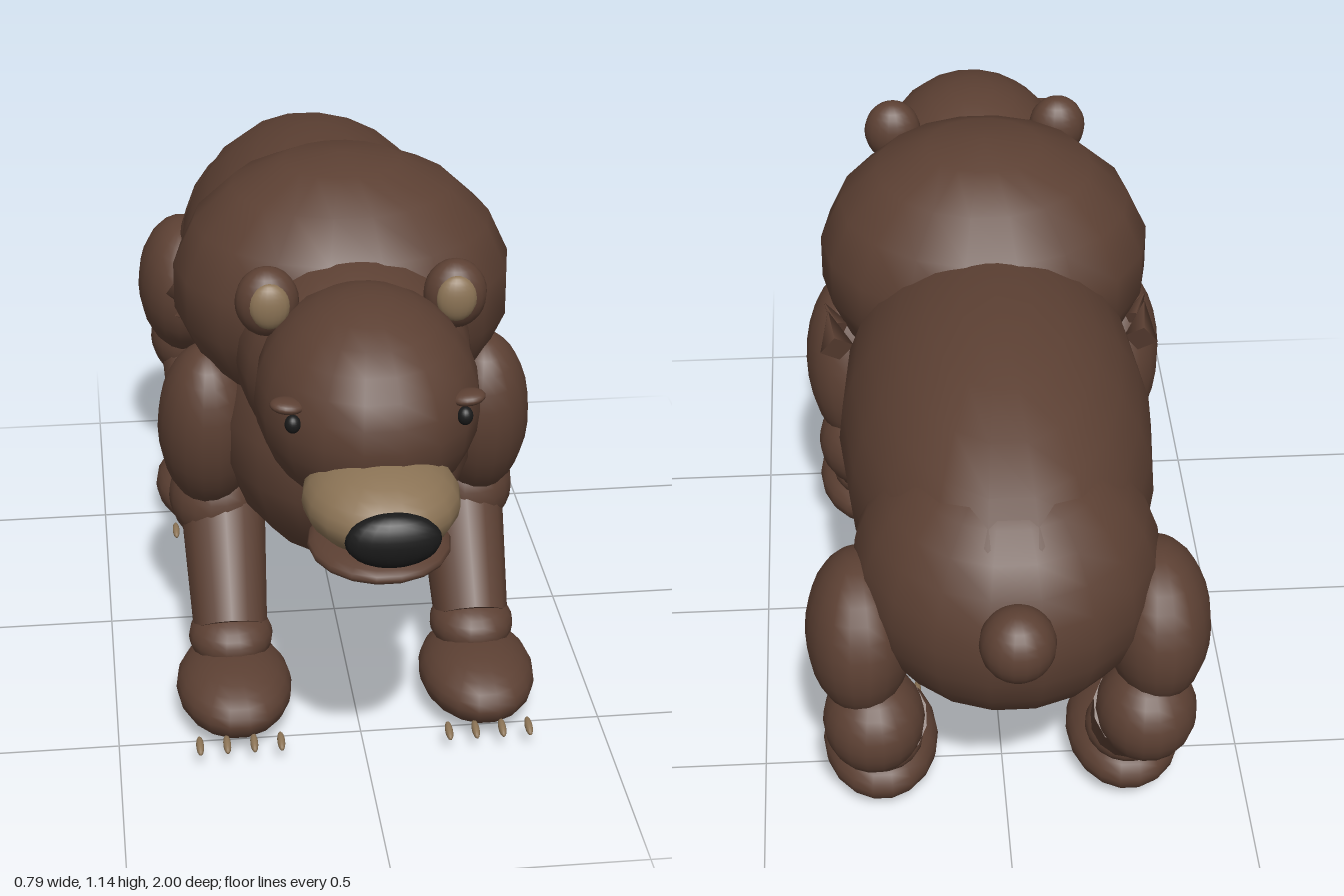
import * as THREE from 'three';

export function createModel() {
  const bear = new THREE.Group();
  bear.name = 'bear';

  const material = (name, color) => {
    const m = new THREE.MeshStandardMaterial({ color });
    m.name = name;
    return m;
  };
  const fur = material('brownFur', 0x5c4033);
  const tan = material('tan', 0x8b7355);
  const black = material('black', 0x1a1a1a);

  const coarse = new THREE.SphereGeometry(1, 18, 9);
  const fine = new THREE.SphereGeometry(1, 18, 14);

  // Ellipsoid from centre and radii
  function blob(name, mat, pos, radii, geometry = fine, parent = bear) {
    const mesh = new THREE.Mesh(geometry, mat);
    mesh.name = name;
    mesh.position.set(...pos);
    mesh.scale.set(...radii);
    parent.add(mesh);
    return mesh;
  }

  // Tapered cylinder or cone between two points
  function taper(name, mat, from, to, r0, r1, sides, parent = bear) {
    const a = new THREE.Vector3(...from), b = new THREE.Vector3(...to);
    const dir = b.clone().sub(a);
    const mesh = new THREE.Mesh(new THREE.CylinderGeometry(r1, r0, dir.length(), sides), mat);
    mesh.name = name;
    mesh.position.copy(a).add(b).multiplyScalar(0.5);
    mesh.quaternion.setFromUnitVectors(new THREE.Vector3(0, 1, 0), dir.normalize());
    parent.add(mesh);
    return mesh;
  }

  // Torso
  blob('body', fur, [0, 0.695, -0.28], [0.318, 0.328, 0.62]);
  blob('shoulderHump', fur, [0, 0.87, 0.13], [0.35, 0.277, 0.325], coarse);
  blob('rump', fur, [0, 0.64, -0.615], [0.3, 0.285, 0.31]);
  blob('chest', fur, [0, 0.585, 0.21], [0.262, 0.278, 0.315], coarse);
  blob('neck', fur, [0, 0.8, 0.36], [0.235, 0.22, 0.28]);
  blob('tail', fur, [0, 0.695, -0.928], [0.072, 0.075, 0.072]);

  // Head
  blob('head', fur, [0, 0.815, 0.57], [0.217, 0.208, 0.268]);
  blob('muzzle', tan, [0, 0.71, 0.79], [0.148, 0.087, 0.17]);
  blob('nose', black, [0, 0.713, 0.964], [0.088, 0.053, 0.036]);
  blob('jaw', fur, [0, 0.602, 0.765], [0.136, 0.033, 0.155]);

  for (const side of [1, -1]) {
    const label = side > 0 ? 'left' : 'right';

    // Face details and ears
    blob(label + 'Eye', black, [side * 0.16, 0.85, 0.754], [0.015, 0.018, 0.015]);
    const brow = blob(label + 'Brow', fur, [side * 0.168, 0.878, 0.733], [0.033, 0.014, 0.028]);
    brow.rotation.z = side * 0.1;
    blob(label + 'Ear', fur, [side * 0.182, 0.975, 0.473], [0.062, 0.07, 0.05]);
    blob(label + 'InnerEar', tan, [side * 0.18, 0.978, 0.506], [0.04, 0.047, 0.023]);

    // Small fur tufts behind the shoulder
    taper(label + 'Tuft', fur, [side * 0.318, 0.768, -0.07], [side * 0.335, 0.795, 0.03], 0.036, 0.001, 4);
    taper(label + 'SmallTuft', fur, [side * 0.31, 0.76, 0.02], [side * 0.342, 0.78, 0.085], 0.02, 0.001, 4);

    // Legs
    for (const front of [true, false]) {
      const leg = new THREE.Group();
      leg.name = label + (front ? 'FrontLeg' : 'HindLeg');
      bear.add(leg);
      const x = side * 0.255;
      const pawZ = front ? 0.405 : -0.505;
      const kneeZ = front ? 0.13 : -0.75;
      const kneeY = front ? 0.385 : 0.36;

      const upper = front
        ? blob('upperLeg', fur, [side * 0.285, 0.575, 0.18], [0.104, 0.195, 0.128], fine, leg)
        : blob('thigh', fur, [side * 0.29, 0.53, -0.68], [0.106, 0.165, 0.158], fine, leg);
      upper.rotation.x = 0.25;
      blob('knee', fur, [side * 0.268, kneeY, kneeZ], [0.1, 0.105, 0.112], fine, leg);
      taper('lowerLeg', fur, [x, kneeY, kneeZ], [x, 0.165, pawZ - 0.08], 0.092, 0.078, 14, leg);
      blob('ankle', fur, [x, 0.155, pawZ - 0.075], [0.088, 0.062, 0.095], fine, leg);
      blob('paw', fur, [x, 0.08, pawZ], [0.12, 0.076, 0.175], fine, leg);

      for (let i = 0; i < 4; i++) {
        const claw = blob('claw', tan, [x + (i - 1.5) * 0.055, 0.045, pawZ + 0.175], [0.008, 0.009, 0.026], fine, leg);
        claw.rotation.x = 0.2;
      }
    }
  }

  return bear;
}
